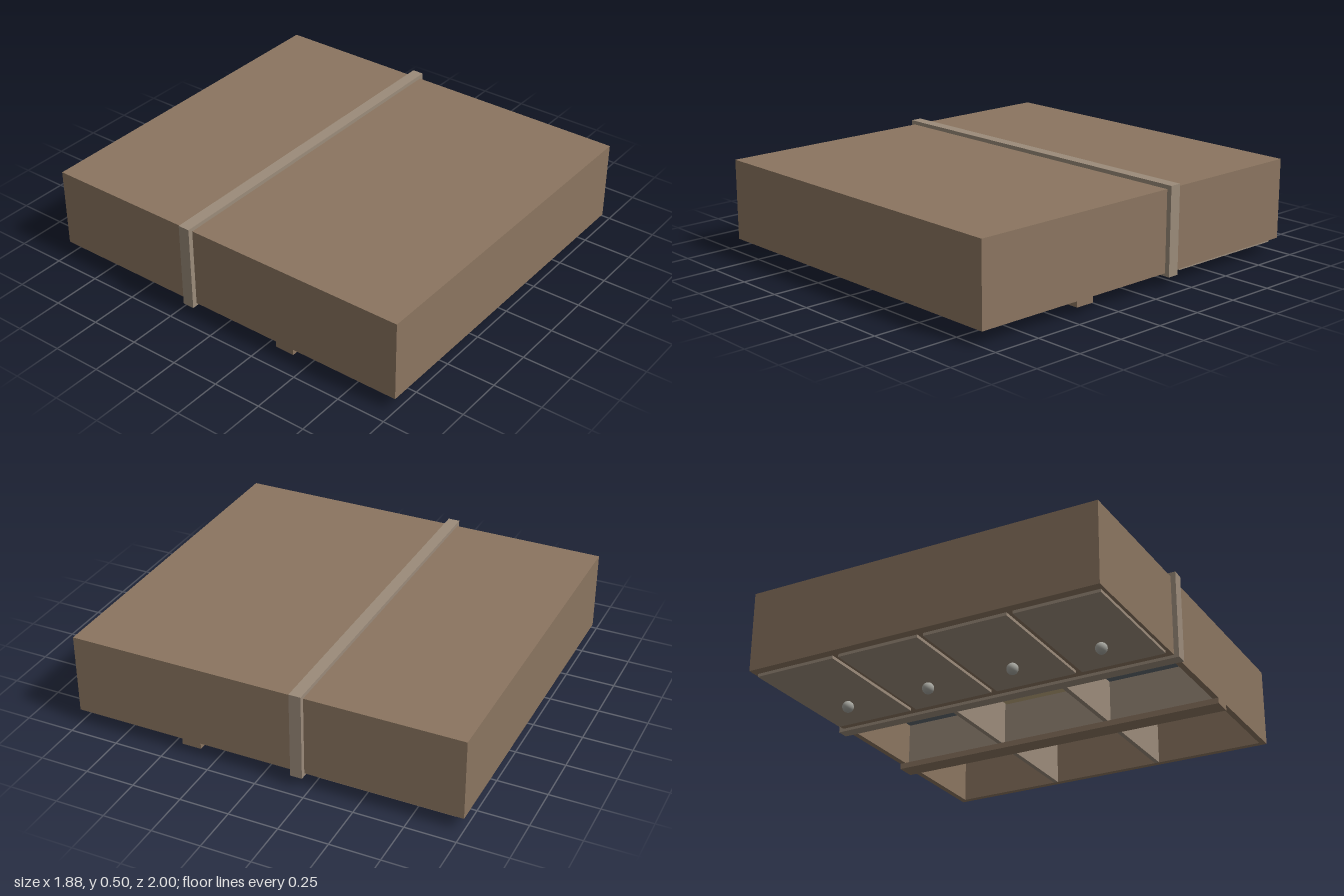
import * as THREE from 'three';

const mat = (color) => new THREE.MeshStandardMaterial({ color });
const wood = mat(0x8b7560), trim = mat(0x9b8b7a), metal = mat(0xa5a59e);
const slate = mat(0x606870), straw = mat(0xbfaa7f);

export function createModel() {
  const model = new THREE.Group();

  // Box given by its minimum and maximum on each axis
  const box = (name, material, [x0, x1], [y0, y1], [z0, z1], parent = model) => {
    const mesh = new THREE.Mesh(new THREE.BoxGeometry(x1 - x0, y1 - y0, z1 - z0), material);
    mesh.position.set((x0 + x1) / 2, (y0 + y1) / 2, (z0 + z1) / 2);
    mesh.name = name;
    parent.add(mesh);
    return mesh;
  };

  const W = 0.915, T = 0.03, Y0 = 0.07, Y1 = 0.48;

  // Cabinet lying on its front: back board, sides, ends
  const cabinet = new THREE.Group();
  cabinet.name = 'cabinet';
  model.add(cabinet);
  box('backBoard', wood, [-W, W], [Y1 - 0.02, Y1], [-1, 1], cabinet);
  for (const s of [-1, 1]) {
    const x = s * (W - T / 2), z = s * (1 - T / 2);
    box('sideBoard', wood, [x - T / 2, x + T / 2], [Y0, Y1 - 0.02], [-1, 1], cabinet);
    box('endBoard', wood, [-W + T, W - T], [Y0, Y1 - 0.02], [z - T / 2, z + T / 2], cabinet);
  }
  // Closed lower compartment behind the doors
  box('cupboardFace', wood, [-W + T, W - T], [Y0, Y0 + 0.02], [-1 + T, -0.155], cabinet);
  box('cupboardTop', wood, [-W + T, W - T], [Y0 + 0.02, Y1 - 0.02], [-0.185, -0.155], cabinet);

  // Band around the cabinet
  box('bandFront', trim, [-0.94, 0.94], [0.055, Y0], [-0.215, -0.155]);
  box('bandBack', trim, [-0.94, 0.94], [Y1, 0.5], [-0.215, -0.155]);
  for (const s of [-1, 1]) {
    const x = s * 0.9275;
    box('bandSide', trim, [x - 0.0125, x + 0.0125], [Y0, Y1], [-0.215, -0.155]);
  }

  // Open shelves: cross shelf, two dividers, front rail
  box('shelf', trim, [-W + T, W - T], [Y0, Y1 - 0.02], [0.365, 0.395]);
  box('shelfRail', wood, [-W, W], [0.04, Y0], [0.33, 0.43]);
  const dividerX = 0.305;
  for (const s of [-1, 1]) {
    const x = s * dividerX;
    box('divider', trim, [x - 0.012, x + 0.012], [Y0, Y1 - 0.02], [-0.155, 0.97]);
  }

  // Coloured fills set back in each compartment, from +x to -x
  const rows = [
    { z: [-0.155, 0.365], fills: [slate, straw, slate] },
    { z: [0.395, 0.97], fills: [straw, straw, straw] },
  ];
  for (const { z, fills } of rows) {
    fills.forEach((fill, i) => {
      const x = (1 - i) * 0.6;
      box('compartmentFill', fill, [x - 0.285, x + 0.285], [0.3, Y1 - 0.02], z);
    });
  }

  // Four doors, each with a round knob
  for (let i = 0; i < 4; i++) {
    const x = (i - 1.5) * 0.457;
    box('door', trim, [x - 0.213, x + 0.213], [0.055, Y0], [-0.955, -0.275]);
    const knob = new THREE.Mesh(new THREE.SphereGeometry(0.029, 20, 14), metal);
    knob.position.set(x, 0.029, -0.51);
    knob.name = 'knob';
    model.add(knob);
  }

  return model;
}
